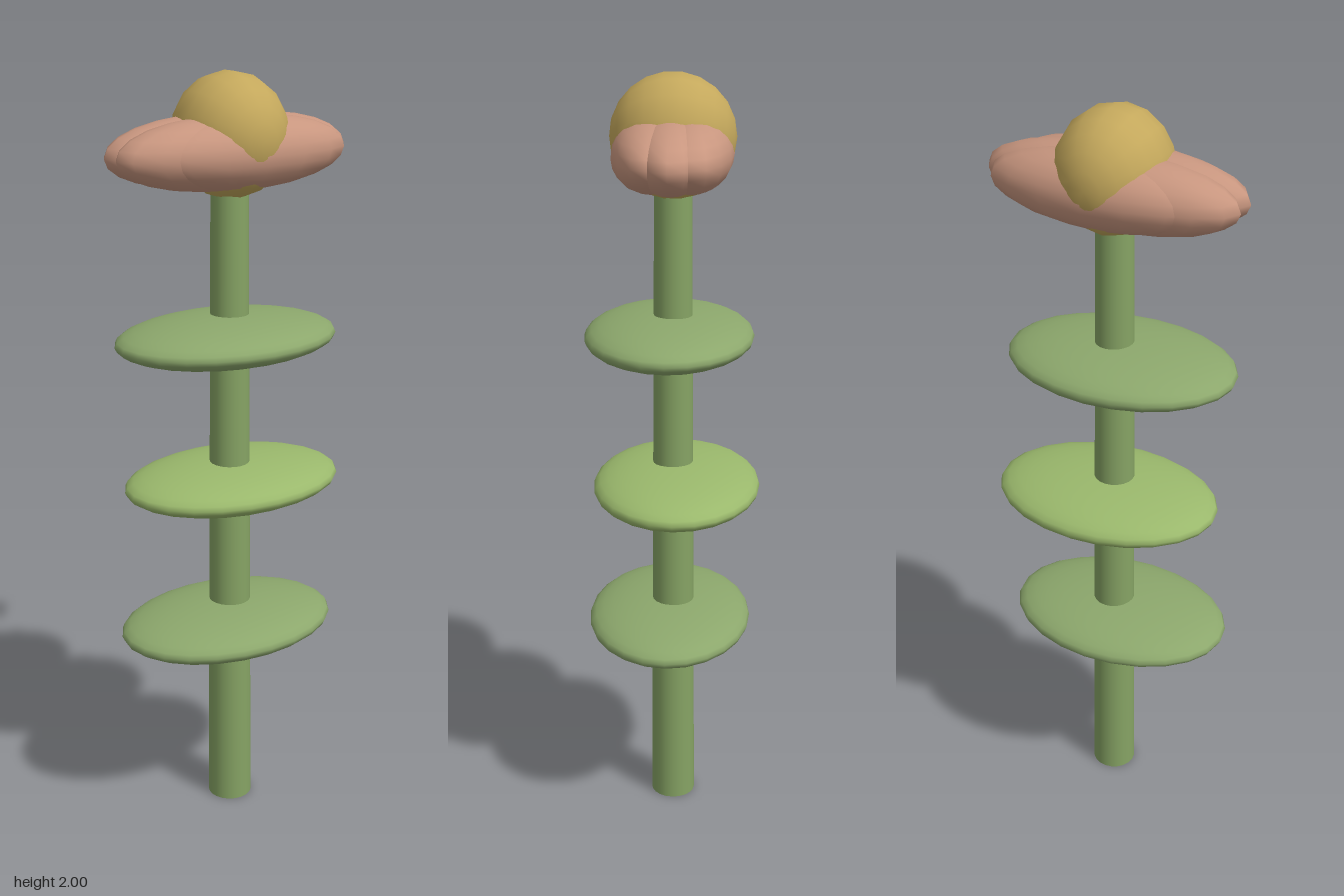
import * as THREE from 'three';

const material = (color) => new THREE.MeshStandardMaterial({ color });

// Ellipsoid with its poles along z or y
function ellipsoid(name, radii, position, color, segments, rings, poleOnZ = false) {
  const geometry = new THREE.SphereGeometry(1, segments, rings);
  if (poleOnZ) geometry.rotateX(Math.PI / 2);
  geometry.scale(...radii);
  const mesh = new THREE.Mesh(geometry, material(color));
  mesh.name = name;
  mesh.position.set(...position);
  return mesh;
}

export function createModel() {
  const flower = new THREE.Group();
  flower.name = 'flower';
  const axisX = -0.005;

  // Tapered stem
  const stem = new THREE.Mesh(new THREE.CylinderGeometry(0.047, 0.06, 1.8, 20), material(0x86a364));
  stem.name = 'stem';
  stem.position.set(axisX, 0.9, 0);
  flower.add(stem);

  // Flat oval leaves, shifted alternately from side to side
  [0.545, 0.942, 1.34].forEach((y, i) => {
    const side = i % 2 ? 1 : -1;
    const color = i % 2 ? 0x9ab86c : 0x8ca76c;
    flower.add(ellipsoid(`leaf${i + 1}`, [0.305, 0.059, 0.219],
      [axisX + side * 0.015, y, -side * 0.01], color, 24, 16));
  });

  // Five overlapping long petals set on a small ring
  const petals = new THREE.Group();
  petals.name = 'petals';
  for (let i = 0; i < 5; i++) {
    const a = (i / 5) * Math.PI * 2;
    petals.add(ellipsoid(`petal${i + 1}`, [0.293, 0.09, 0.104],
      [axisX + Math.cos(a) * 0.05, 1.808, Math.sin(a) * 0.05], 0xc8967f, 16, 12));
  }
  flower.add(petals);

  // Round flower centre
  flower.add(ellipsoid('flowerCentre', [0.143, 0.155, 0.157], [axisX, 1.845, 0], 0xc4a85c, 16, 11, true));

  return flower;
}
